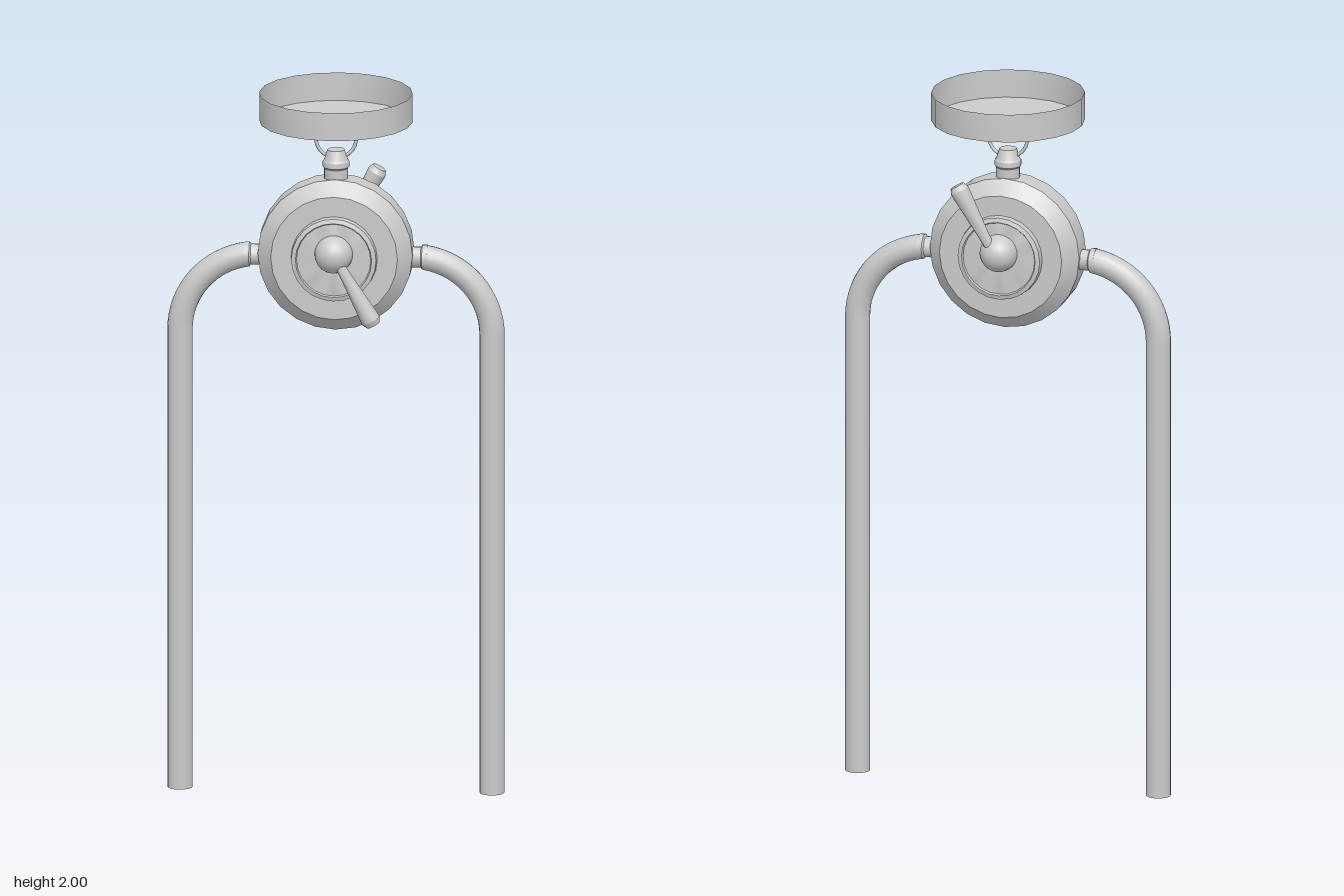
import * as THREE from 'three';
import { toCreasedNormals } from 'three/addons/utils/BufferGeometryUtils.js';

const material = new THREE.MeshStandardMaterial({ color: 0xcccccc, side: THREE.DoubleSide });

function add(parent, name, geometry, position = [0, 0, 0]) {
  const mesh = new THREE.Mesh(geometry, material);
  mesh.name = name;
  mesh.position.set(...position);
  parent.add(mesh);
  return mesh;
}

// Turned part around y with sharp edges between its profile steps
function turned(profile, sides) {
  const points = profile.map(([r, y]) => new THREE.Vector2(r, y));
  return toCreasedNormals(new THREE.LatheGeometry(points, sides), 0.45);
}

// Bent leg: short tilted start, quarter bend, long straight drop
class LegCurve extends THREE.Curve {
  getPoint(t, target = new THREE.Vector3()) {
    const bend = 0.8;
    if (t > bend) return target.set(0.433, 1.315 * (1 - (t - bend) / (1 - bend)), 0);
    const a = THREE.MathUtils.degToRad(81 * (1 - t / bend));
    return target.set(0.213 + 0.22 * Math.cos(a), 1.315 + 0.22 * Math.sin(a), 0);
  }
  getPointAt(t, target) { return this.getPoint(t, target); }
  getTangentAt(t, target) { return this.getTangent(t, target); }
}

export function createModel() {
  const model = new THREE.Group();
  model.name = 'crankStand';
  const drumY = 1.545;

  // Open shallow cup and the ring it hangs on
  add(model, 'cup', turned([[0, 1.92], [0.213, 1.92], [0.213, 2]], 20));
  add(model, 'hangingRing', new THREE.TorusGeometry(0.056, 0.005, 8, 32), [0, 1.87, 0]);

  // Neck fitting on top of the drum
  add(model, 'neck', turned([
    [0.033, 1.74], [0.033, 1.785], [0.037, 1.79], [0.037, 1.805],
    [0.033, 1.81], [0.024, 1.838], [0, 1.838],
  ], 16));

  // Chamfered drum with a stepped boss on both faces
  const half = [[0.215, 0.035], [0.176, 0.075], [0.12, 0.075], [0.118, 0.094], [0.106, 0.098], [0.103, 0.092], [0, 0.092]];
  const profile = [...half.map(([r, z]) => [r, -z]).reverse(), ...half];
  add(model, 'drum', turned(profile, 24), [0, drumY, 0]).rotation.x = Math.PI / 2;

  // Two cranks: the rear one is the front one turned about x
  for (const side of [1, -1]) {
    const crank = new THREE.Group();
    crank.name = side > 0 ? 'frontCrank' : 'backCrank';
    add(crank, 'knob', new THREE.SphereGeometry(0.053, 20, 14), [0, 0, 0.094]);
    const handle = add(crank, 'handle', turned([
      [0, 0], [0.013, 0], [0.016, 0.06], [0.026, 0.178], [0.027, 0.195], [0.02, 0.21], [0, 0.212],
    ], 14), [0.01, -0.01, 0.12]);
    handle.rotation.z = Math.PI + 0.51;
    crank.position.y = 1.562;
    crank.rotation.x = side > 0 ? 0 : Math.PI;
    model.add(crank);
  }

  // Mirrored legs with their collars
  for (const side of [1, -1]) {
    const leg = new THREE.Group();
    leg.name = side > 0 ? 'leftLeg' : 'rightLeg';
    add(leg, 'legTube', new THREE.TubeGeometry(new LegCurve(), 20, 0.035, 16, false));
    const collar = add(leg, 'collar', turned([
      [0.029, -0.05], [0.029, 0.024], [0.035, 0.028], [0.035, 0.042], [0, 0.042],
    ], 16), [0.212, 1.533, 0]);
    collar.rotation.z = -Math.PI / 2;
    if (side < 0) leg.rotation.y = Math.PI;
    model.add(leg);
  }

  return model;
}
